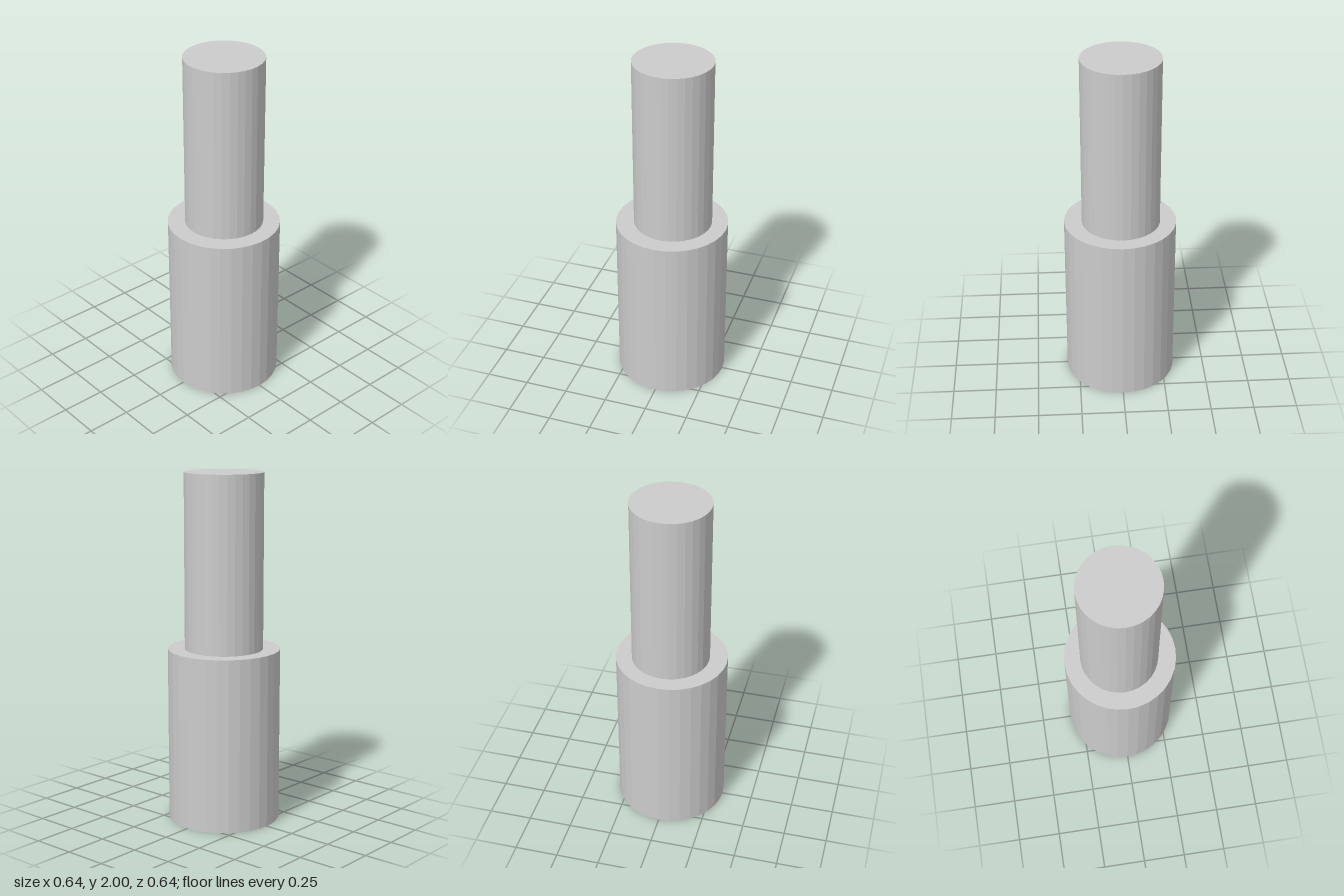
import * as THREE from 'three';

const SIDES = 32;

export function createModel() {
  const model = new THREE.Group();
  model.name = 'steppedPin';
  const material = new THREE.MeshStandardMaterial({ color: 0xcccccc, flatShading: true });

  // Upright cylinder standing on the given base height
  const addCylinder = (name, radius, height, x, base, z) => {
    const mesh = new THREE.Mesh(new THREE.CylinderGeometry(radius, radius, height, SIDES), material);
    mesh.name = name;
    mesh.position.set(x, base + height / 2, z);
    model.add(mesh);
  };

  // Wide lower body
  addCylinder('base', 0.321, 1, 0, 0, 0);
  // Narrow upper shaft, set very slightly off centre
  addCylinder('shaft', 0.224, 1, 0.005, 1, -0.004);

  return model;
}
